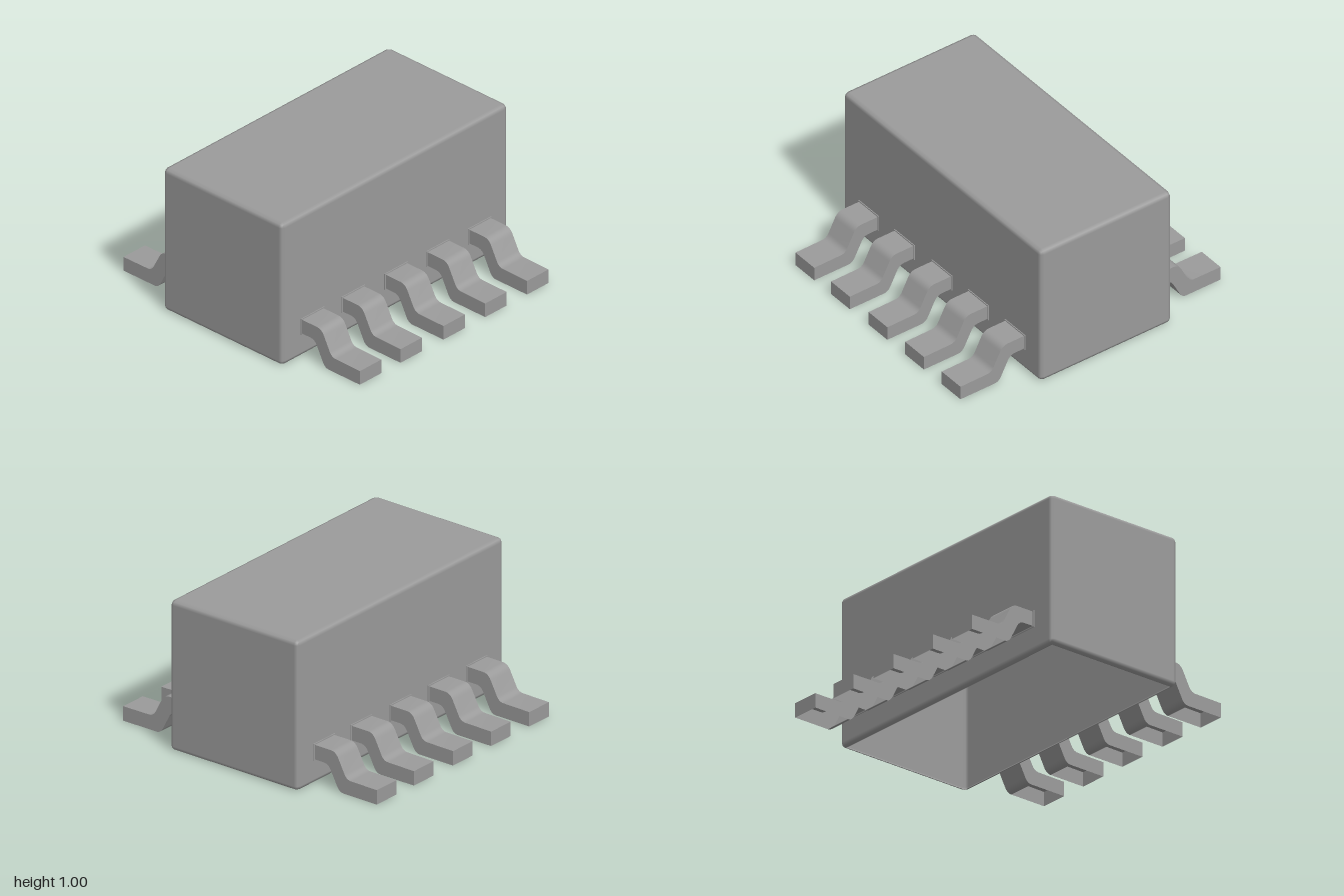
import * as THREE from 'three';
import { toCreasedNormals } from 'three/addons/utils/BufferGeometryUtils.js';
import { RoundedBoxGeometry } from 'three/addons/geometries/RoundedBoxGeometry.js';

const PIN_WIDTH = 0.19;

// Leaves out the flat underside lying at height y
function openUnderside(geo, y) {
  const p = geo.attributes.position;
  const kept = [];
  for (let i = 0; i < p.count; i += 3) {
    const tri = [i, i + 1, i + 2];
    if (!tri.every((k) => Math.abs(p.getY(k) - y) < 1e-5)) kept.push(...tri);
  }
  geo.setIndex(kept);
  return geo;
}

// Gull-wing pin: side profile (z, y) swept across x, hollow under the foot
function pinGeometry() {
  const s = new THREE.Shape();
  s.moveTo(0.5, 0.165);
  s.lineTo(0.575, 0.165);
  s.quadraticCurveTo(0.612, 0.165, 0.63, 0.13);
  s.lineTo(0.68, 0.035);
  s.quadraticCurveTo(0.698, 0, 0.73, 0);
  s.lineTo(0.99, 0);
  s.lineTo(0.99, 0.096);
  s.lineTo(0.79, 0.098);
  s.quadraticCurveTo(0.755, 0.098, 0.738, 0.13);
  s.lineTo(0.69, 0.222);
  s.quadraticCurveTo(0.67, 0.262, 0.63, 0.262);
  s.lineTo(0.5, 0.262);
  const geo = new THREE.ExtrudeGeometry(s, {
    depth: PIN_WIDTH, bevelEnabled: false, curveSegments: 6,
  });
  geo.rotateY(-Math.PI / 2).translate(PIN_WIDTH / 2, 0, 0);
  return toCreasedNormals(openUnderside(geo, 0), Math.PI / 5);
}

export function createModel() {
  const model = new THREE.Group();
  model.name = 'surfaceMountPackage';
  const grey = new THREE.MeshStandardMaterial({ color: 0x9b9b9b, side: THREE.DoubleSide });

  // Main block: a shell with narrow softened edges, open below
  const bodyGeo = openUnderside(new RoundedBoxGeometry(2, 1, 1, 1, 0.03), -0.5);
  const body = new THREE.Mesh(bodyGeo, grey);
  body.name = 'body';
  body.position.y = 0.5;
  model.add(body);

  // Two rows of pins, each with a thin collar where it leaves the block
  const pinGeo = pinGeometry();
  const collarGeo = new THREE.BoxGeometry(PIN_WIDTH + 0.015, 0.112, 0.006);
  const rows = [
    { name: 'front', turn: 0, xs: [-0.735, -0.375, 0.005, 0.375, 0.745] },
    { name: 'back', turn: Math.PI, xs: [-0.735, -0.365, 0.005, 0.385, 0.745] },
  ];
  for (const { name, turn, xs } of rows) {
    xs.forEach((x, i) => {
      const lead = new THREE.Group();
      lead.name = `${name}Lead${i + 1}`;
      lead.position.x = x;
      lead.rotation.y = turn;

      const pin = new THREE.Mesh(pinGeo, grey);
      pin.name = 'pin';
      const collar = new THREE.Mesh(collarGeo, grey);
      collar.name = 'collar';
      collar.position.set(0, 0.2135, 0.504);
      lead.add(pin, collar);
      model.add(lead);
    });
  }
  return model;
}
